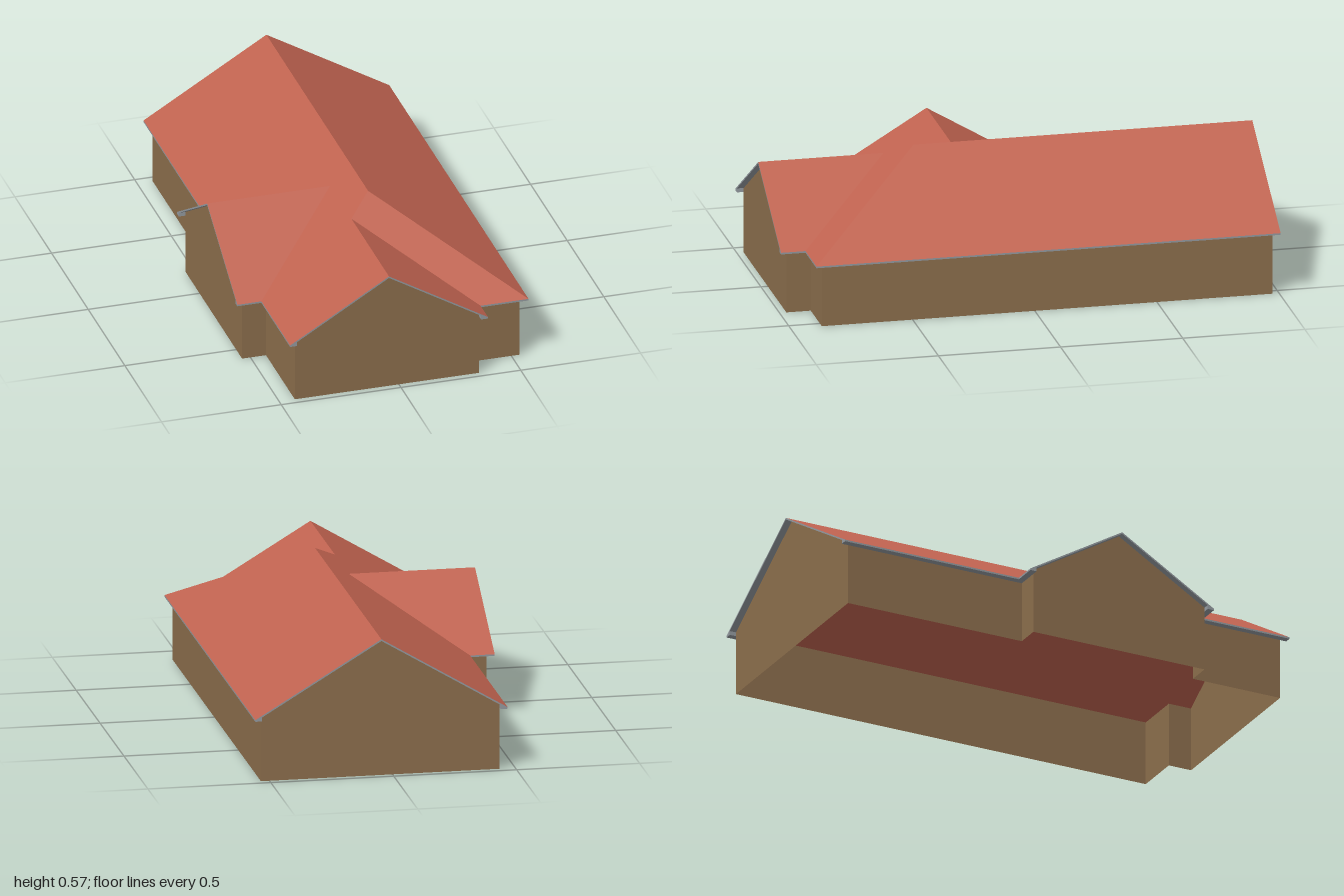
import * as THREE from 'three';

const EAVE = 0.262, PITCH = 0.6, DROP = 0.007, HANG = 0.028, SOFFIT = EAVE - DROP;

const makeMaterial = (name, color) => {
  const m = new THREE.MeshStandardMaterial({ color, side: THREE.DoubleSide });
  m.name = name;
  return m;
};

// Mesh from a list of convex 3D polygons, each split into a fan
function polyMesh(name, polys, material) {
  const pos = [];
  for (const p of polys)
    for (let i = 1; i < p.length - 1; i++) pos.push(...p[0], ...p[i], ...p[i + 1]);
  const g = new THREE.BufferGeometry();
  g.setAttribute('position', new THREE.Float32BufferAttribute(pos, 3));
  g.computeVertexNormals();
  const mesh = new THREE.Mesh(g, material);
  mesh.name = name;
  return mesh;
}

// Roof slope from its plan outline [x, z] and its height rule, facing up
function roofSlope(name, plan, height, material) {
  let pts = plan.map(([x, z]) => new THREE.Vector2(x, -z));
  if (THREE.ShapeUtils.isClockWise(pts)) pts = pts.reverse();
  const tris = THREE.ShapeUtils.triangulateShape(pts, []).map(t =>
    t.map(i => [pts[i].x, height(pts[i].x, -pts[i].y), -pts[i].y]));
  return polyMesh(name, tris, material);
}

export function createModel() {
  const house = new THREE.Group();
  house.name = 'house';
  const red = makeMaterial('roof red', 0xc06350);
  const brown = makeMaterial('wall brown', 0x8d6f4d);
  const grey = makeMaterial('trim grey', 0x959ba1);

  // Roof slopes meeting at ridges, one hip and the valleys
  const rise = d => EAVE + PITCH * d;
  const slopes = [
    ['mainRoofLeft', [[-0.463, -1], [0.05, -1], [0.05, 0.387], [-0.05, 0.487], [-0.05, 1], [-0.463, 1],
      [-0.463, 0.608], [-0.05, 0.195], [-0.463, -0.218]], x => rise(x + 0.463)],
    ['mainRoofRight', [[0.05, -1], [0.563, -1], [0.563, 0.9], [0.05, 0.387]], x => rise(0.563 - x)],
    ['frontHip', [[0.05, 0.387], [0.563, 0.9], [0.363, 0.9], [-0.05, 0.487]], (x, z) => rise(0.9 - z)],
    ['frontGableRoof', [[-0.05, 0.487], [0.363, 0.9], [0.363, 1], [-0.05, 1]], x => rise(0.363 - x)],
    ['sideGableRoofBack', [[-0.563, -0.218], [-0.463, -0.218], [-0.05, 0.195], [-0.563, 0.195]], (x, z) => rise(z + 0.218)],
    ['sideGableRoofFront', [[-0.563, 0.608], [-0.463, 0.608], [-0.05, 0.195], [-0.563, 0.195]], (x, z) => rise(0.608 - z)],
  ];
  for (const [name, plan, height] of slopes) house.add(roofSlope(name, plan, height, red));

  // Walls follow the plan; the third value marks a gable on the run to the next corner
  const corners = [
    [0.535, -0.972], [0.535, 0.872], [0.335, 0.872], [0.335, 0.972, true], [-0.435, 0.972],
    [-0.435, 0.58], [-0.535, 0.58, true], [-0.535, -0.19], [-0.435, -0.19], [-0.435, -0.972, true],
  ];
  const top = EAVE + PITCH * HANG - DROP;
  corners.forEach(([x, z, gable], i) => {
    const [u, w] = corners[(i + 1) % corners.length];
    const wall = [[x, 0, z], [u, 0, w], [u, top, w]];
    if (gable) wall.push([(x + u) / 2, top + PITCH * Math.hypot(u - x, w - z) / 2, (z + w) / 2]);
    wall.push([x, top, z]);
    house.add(polyMesh(gable ? 'gableWall' : 'wall', [wall], brown));
  });

  // Fascia and flat soffit under each level eave
  const eaves = [
    [[0.563, -1], [0.563, 0.9]], [[0.363, 0.9], [0.563, 0.9]], [[0.363, 0.9], [0.363, 1]],
    [[-0.463, -1], [-0.463, -0.218]], [[-0.463, 0.608], [-0.463, 1]],
    [[-0.563, -0.218], [-0.463, -0.218]], [[-0.563, 0.608], [-0.463, 0.608]],
  ];
  house.add(polyMesh('eaveFascia', eaves.map(([[x, z], [u, w]]) =>
    [[x, SOFFIT, z], [u, SOFFIT, w], [u, EAVE, w], [x, EAVE, z]]), grey));

  const soffits = [ // x0, x1, z0, z1
    [0.535, 0.563, -1, 0.9], [0.335, 0.535, 0.872, 0.9], [0.335, 0.363, 0.9, 1],
    [-0.463, -0.435, -1, -0.218], [-0.463, -0.435, 0.608, 1],
    [-0.563, -0.435, -0.218, -0.19], [-0.563, -0.435, 0.58, 0.608],
  ];
  house.add(polyMesh('soffit', soffits.map(([a, b, c, d]) =>
    [[a, SOFFIT, c], [b, SOFFIT, c], [b, SOFFIT, d], [a, SOFFIT, d]]), grey));

  // Sloping rake trim on each gable: two eave corners and the inward direction
  const gables = [
    [[-0.463, 1], [0.363, 1], [0, -1]],
    [[-0.463, -1], [0.563, -1], [0, 1]],
    [[-0.563, -0.218], [-0.563, 0.608], [1, 0]],
  ];
  for (const [a, b, n] of gables) {
    const span = Math.hypot(b[0] - a[0], b[1] - a[1]);
    const mid = [(a[0] + b[0]) / 2, (a[1] + b[1]) / 2];
    const peak = EAVE + PITCH * span / 2;
    const polys = [];
    for (const e of [a, b]) {
      const t = HANG / (span / 2);
      const inner = [e[0] + (mid[0] - e[0]) * t, e[1] + (mid[1] - e[1]) * t];
      const inX = n[0] * HANG, inZ = n[1] * HANG;
      polys.push(
        // vertical rake board
        [[e[0], EAVE, e[1]], [mid[0], peak, mid[1]], [mid[0], peak - DROP, mid[1]], [e[0], SOFFIT, e[1]]],
        // sloping underside back to the wall
        [[e[0], SOFFIT, e[1]], [mid[0], peak - DROP, mid[1]],
          [mid[0] + inX, peak - DROP, mid[1] + inZ], [e[0] + inX, SOFFIT, e[1] + inZ]],
        // end cap of the boxed eave
        [[e[0], SOFFIT, e[1]], [inner[0], SOFFIT, inner[1]], [inner[0], top, inner[1]]],
        // inner cheek of the boxed eave
        [[inner[0], SOFFIT, inner[1]], [inner[0], top, inner[1]],
          [inner[0] + inX, top, inner[1] + inZ], [inner[0] + inX, SOFFIT, inner[1] + inZ]]);
    }
    house.add(polyMesh('gableTrim', polys, grey));
  }
  return house;
}
